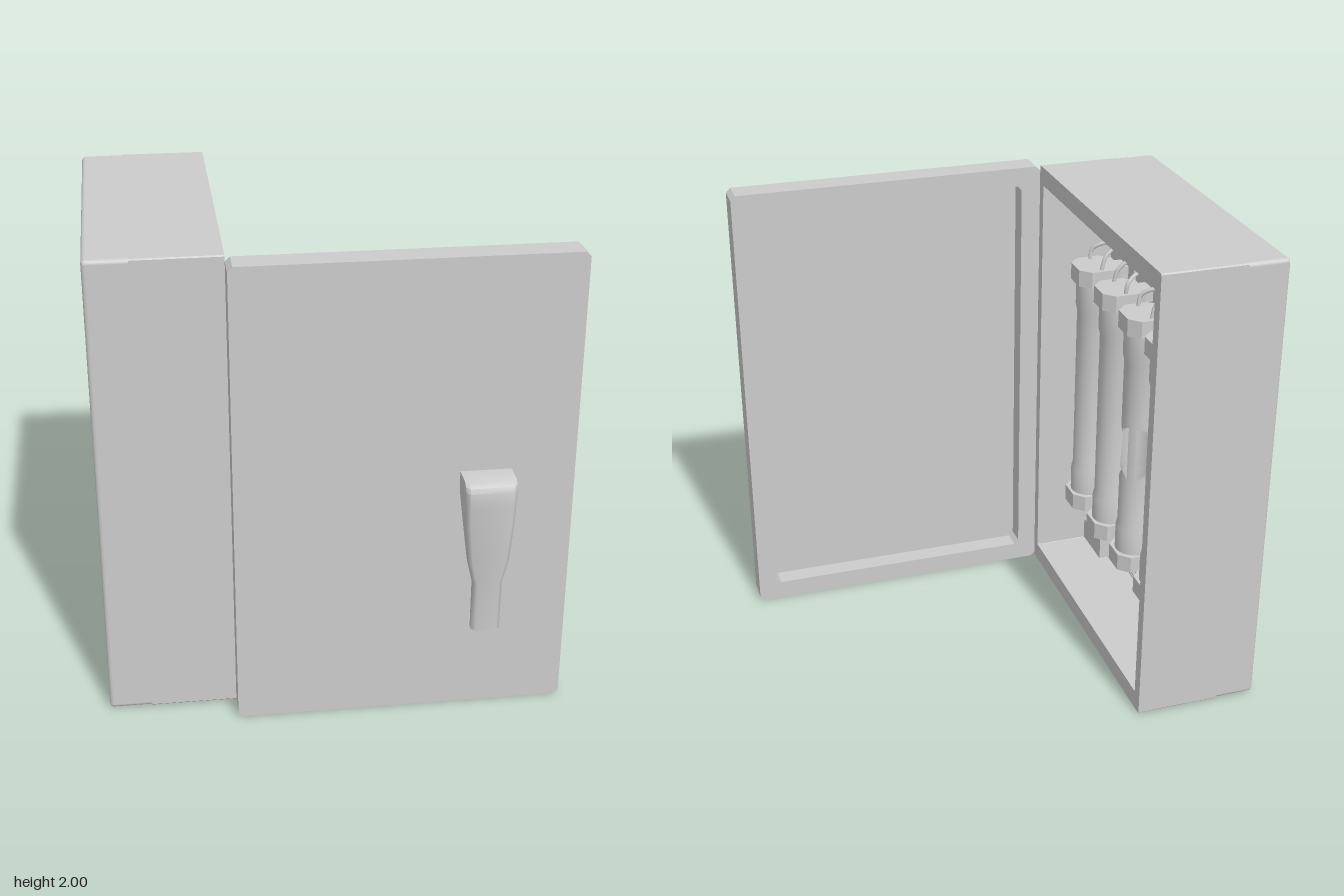
import * as THREE from 'three';
import { RoundedBoxGeometry } from 'three/addons/geometries/RoundedBoxGeometry.js';
import { ParametricGeometry } from 'three/addons/geometries/ParametricGeometry.js';
import { toCreasedNormals } from 'three/addons/utils/BufferGeometryUtils.js';

const mat = new THREE.MeshStandardMaterial({ color: 0xcccccc });
const thin = new THREE.MeshStandardMaterial({ color: 0xcccccc, side: THREE.DoubleSide });

function add(parent, name, geo, material = mat) {
  const mesh = new THREE.Mesh(geo, material);
  mesh.name = name;
  parent.add(mesh);
  return mesh;
}

const polygon = (pts) => new THREE.Shape(pts.map(([x, y]) => new THREE.Vector2(x, y)));

// Rectangle with corners cut by c
const cutRect = (x0, x1, y0, y1, c) => polygon([
  [x0 + c, y0], [x1 - c, y0], [x1, y0 + c], [x1, y1 - c],
  [x1 - c, y1], [x0 + c, y1], [x0, y1 - c], [x0, y0 + c]]);

// Flat-sided slab from z0 to z1
function slab(shape, z0, z1, hole) {
  if (hole) shape.holes.push(hole);
  return new THREE.ExtrudeGeometry(shape, { depth: z1 - z0, bevelEnabled: false }).translate(0, 0, z0);
}

function box(x0, x1, y0, y1, z0, z1) {
  return new THREE.BoxGeometry(x1 - x0, y1 - y0, z1 - z0)
    .translate((x0 + x1) / 2, (y0 + y1) / 2, (z0 + z1) / 2);
}

function wire(parent, name, pts, r = 0.009) {
  const curve = new THREE.CatmullRomCurve3(pts.map((p) => new THREE.Vector3(...p)));
  add(parent, name, new THREE.TubeGeometry(curve, 16, r, 8));
}

// Handle lofted through cross-sections: y, half width, back z, front z
function handleGeometry() {
  const rows = [
    [0.435, 0.058, 0.762, 0.803], [0.65, 0.059, 0.762, 0.805], [0.75, 0.082, 0.758, 0.805],
    [0.92, 0.097, 0.71, 0.805], [1.0, 0.1, 0.668, 0.805], [1.065, 0.103, 0.668, 0.805],
    [1.085, 0.103, 0.668, 0.796], [1.1, 0.103, 0.668, 0.775]];
  const pos = [], idx = [], n = 6, cut = 0.016;
  for (const [y, w, b, f] of rows) {
    for (const [x, z] of [[-w, b], [-w, f - cut], [-w + cut, f], [w - cut, f], [w, f - cut], [w, b]]) {
      pos.push(0.583 + x, y, z);
    }
  }
  for (let r = 0; r < rows.length - 1; r++) {
    for (let i = 0; i < n; i++) {
      const a = r * n + i, b = r * n + (i + 1) % n;
      idx.push(a, b, b + n, a, b + n, a + n);
    }
  }
  const top = (rows.length - 1) * n;
  for (let i = 1; i < n - 1; i++) {
    idx.push(0, i + 1, i, top, top + i, top + i + 1);
  }
  const geo = new THREE.BufferGeometry();
  geo.setAttribute('position', new THREE.Float32BufferAttribute(pos, 3));
  geo.setIndex(idx);
  return toCreasedNormals(geo, 0.85);
}

const R = 0.076, AXIS = -0.6, PANEL = -0.75;

function lathe(profile) {
  const geo = new THREE.LatheGeometry(profile.map(([r, y]) => new THREE.Vector2(r, y)), 32);
  return toCreasedNormals(geo, 0.5).translate(0, 0, AXIS);
}

// Broken band of a tube: wall strips left between two jagged holes
function brokenBand(parent) {
  // y, left edge of front hole, far edge of side hole (degrees)
  const rows = [[0.845, 32, 60], [0.88, -31, 100], [1.02, -53, 120], [1.08, 0, 105], [1.1, 32, 60]];
  const strip = (from, to) => new ParametricGeometry((u, v, p) => {
    const s = v * (rows.length - 1);
    const i = Math.max(0, Math.min(rows.length - 2, Math.floor(s)));
    const row = rows[i].map((a, k) => a + (rows[i + 1][k] - a) * (s - i));
    const phi = THREE.MathUtils.degToRad(THREE.MathUtils.lerp(from(row), to(row), u));
    p.set(R * Math.sin(phi), row[0], AXIS + R * Math.cos(phi));
  }, 24, rows.length - 1);
  add(parent, 'brokenTubeRib', strip(() => 32, () => 60), thin);
  add(parent, 'brokenTubeWall', strip((r) => r[2], (r) => r[1] + 360), thin);
}

function fuse(broken, flip) {
  const g = new THREE.Group();
  g.name = broken ? 'brokenFuse' : 'fuse';

  // Tube with wider sleeves at both ends
  const low = [[0.083, 0.47], [0.083, 0.6], [R, 0.63]];
  const high = [[R, 1.39], [0.083, 1.42], [0.083, 1.55]];
  if (broken) {
    add(g, 'tubeLower', lathe([...low, [R, 0.845]]), thin);
    add(g, 'tubeUpper', lathe([[R, 1.1], ...high]), thin);
    brokenBand(g);
  } else {
    add(g, 'tube', lathe([...low, ...high]), thin);
  }

  // End caps, arms and the tapered backing plates
  const cap = polygon([[-0.05, 0.505], [0.05, 0.505], [0.095, 0.55], [0.095, 0.65],
    [0.06, 0.695], [-0.06, 0.695], [-0.095, 0.65], [-0.095, 0.55]]);
  for (const [y0, y1, dir] of [[1.53, 1.605, 1], [0.412, 0.487, -1]]) {
    add(g, 'endCap', slab(cap, y0, y1).rotateX(-Math.PI / 2));
    add(g, 'capArm', box(-0.045, 0.045, y0 + 0.01, y1 - 0.01, PANEL, -0.68));
    const e = dir > 0 ? y1 : y0;
    const pts = [[-0.1, e - dir * 0.1], [0.1, e - dir * 0.1], [0.107, e], [0.075, e + dir * 0.157],
      [-0.075, e + dir * 0.157], [-0.107, e]];
    add(g, 'backingPlate', slab(polygon(pts), PANEL, PANEL + 0.012));

    // One hooked and one straight lead at each end
    const s = flip ? -1 : 1;
    wire(g, 'hookedLead', [[-0.07 * s, e - dir * 0.01, AXIS], [-0.072 * s, e + dir * 0.045, AXIS - 0.01],
      [-0.05 * s, e + dir * 0.075, -0.66], [-0.02 * s, e + dir * 0.07, PANEL]]);
    wire(g, 'straightLead', [[0.07 * s, e - dir * 0.01, AXIS], [0.066 * s, e + dir * 0.055, AXIS - 0.02],
      [0.056 * s, e + dir * 0.1, -0.68], [0.052 * s, e + dir * 0.115, PANEL]]);
  }
  return g;
}

export function createModel() {
  const model = new THREE.Group();
  model.name = 'fuseBox';

  // Cabinet, laid out facing +z and turned to open toward +x
  const cabinet = new THREE.Group();
  cabinet.name = 'cabinet';
  cabinet.rotation.y = Math.PI / 2;
  model.add(cabinet);
  const back = new RoundedBoxGeometry(1.355, 1.99, 0.2, 3, 0.017);
  add(cabinet, 'cabinetBack', back.translate(0.1225, 1.005, -0.85));
  add(cabinet, 'cabinetWalls', slab(cutRect(-0.555, 0.8, 0.01, 2, 0.005), -0.775, -0.42,
    cutRect(-0.51, 0.75, 0.09, 1.92, 0.001)));

  // Row of four fuses, the third one broken
  for (let i = 0; i < 4; i++) {
    const f = fuse(i === 2, i % 2 === 1);
    f.position.x = -0.315 + i * 0.282;
    cabinet.add(f);
  }

  // Bus strip, terminal block and supply cables at the bottom
  add(cabinet, 'busStrip', box(-0.295, 0.485, 0.228, 0.258, PANEL, PANEL + 0.01));
  for (let i = 0; i < 3; i++) {
    const x = -0.174 + i * 0.282;
    add(cabinet, 'busLink', box(x - 0.07, x + 0.07, 0.25, 0.262, PANEL, PANEL + 0.01));
  }
  add(cabinet, 'terminalBase', box(-0.51, -0.265, 0.09, 0.21, PANEL, PANEL + 0.03));
  add(cabinet, 'terminalBlock', box(-0.505, -0.29, 0.095, 0.197, PANEL, PANEL + 0.09));
  for (const d of [0, 1]) {
    wire(cabinet, 'supplyCable', [[-0.28, 0.13 + d * 0.012, -0.735], [-0.1, 0.126 + d * 0.015, -0.735],
      [0.04 + d * 0.015, 0.135 + d * 0.012, -0.735], [0.08 + d * 0.04, 0.18, -0.735],
      [0.07 + d * 0.07, 0.235, -0.74]], 0.008);
  }

  // Open door: front skin, raised rim behind it, handle
  const door = new THREE.Group();
  door.name = 'door';
  model.add(door);
  add(door, 'doorSkin', slab(cutRect(-0.42, 0.945, 0.003, 1.995, 0.02), 0.64, 0.67));
  add(door, 'doorRim', slab(cutRect(-0.42, 0.945, 0.003, 1.995, 0.02), 0.555, 0.64,
    cutRect(-0.335, 0.862, 0.085, 1.913, 0.02)));
  add(door, 'handle', handleGeometry());
  return model;
}
